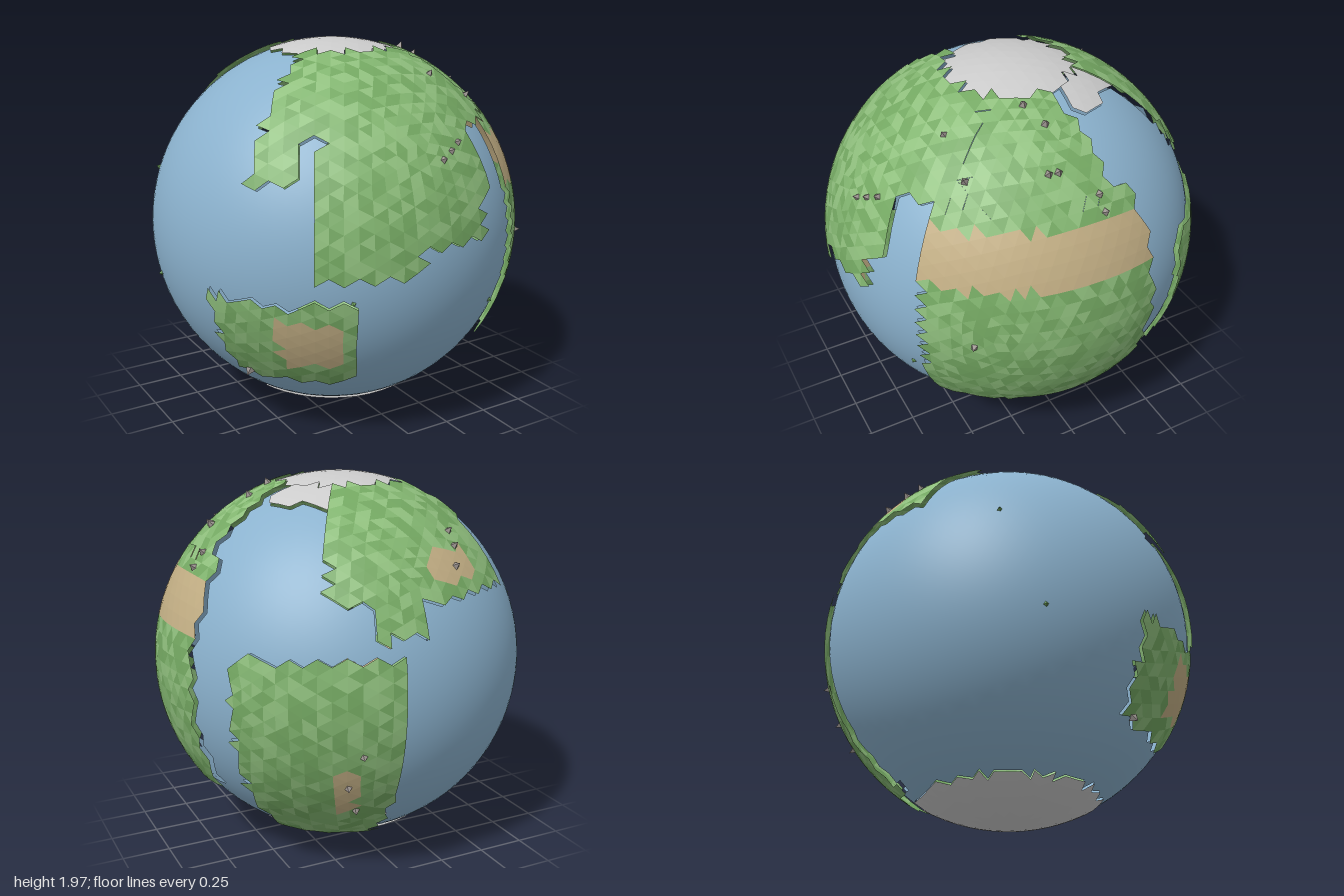
import * as THREE from 'three';

const OCEAN_R = 0.975;
const DEG = Math.PI / 180;

// Land boxes: name, kind, longitude from/to, latitude from/to, radius. First match wins.
// Longitude 0 faces the front (+z) and grows towards +x.
const REGIONS = [
  ['southIceCap', 'ice', 0, 360, -90, -61, 0.985],
  ['northIceCap', 'ice', 0, 360, 71.5, 90, 0.985],
  ['iceIsland', 'ice', 107, 150, 60.5, 71.5, 0.993],
  // right-hand continent with its desert belt
  ['rightContinent', 'sand', 37, 108, 16, 32, 0.998],
  ['rightContinent', 'grass', 37, 108, -34.5, 38, 0.998],
  ['rightContinent', 'grass', 46, 100, 38, 71.5, 0.996],
  // wide front continent
  ['frontContinent', 'grass', -56, 46, 36, 71.5, 1.0],
  ['frontContinent', 'grass', -56, -42, 24, 36, 1.0],
  ['frontContinent', 'grass', -35, 23, 18, 36, 1.0],
  ['frontContinent', 'grass', -35, 18, 5, 18, 1.0],
  ['frontContinent', 'grass', -35, -5, -1.5, 5, 1.0],
  // small lower front continent
  ['lowerContinent', 'sand', -47, -27, -31, -14, 0.992],
  ['lowerContinent', 'grass', -68, -24, -38.5, -9, 0.992],
  // tall back continent
  ['backContinent', 'sand', 153, 160, -37, -20, 1.0],
  ['backContinent', 'grass', 123.5, 172, -56.5, 12.5, 1.0],
  // upper back continent
  ['upperBackContinent', 'sand', 186, 206, 32, 42, 0.998],
  ['upperBackContinent', 'grass', 150, 222, 27, 71.5, 0.998],
  ['upperBackContinent', 'grass', 164, 181, 18, 27, 0.998],
  ['upperBackContinent', 'grass', 222, 232, 50, 71.5, 0.998],
];

// Longitude, latitude of each peak and of each tiny islet
const PEAKS = [
  [6, 29], [10.5, 31], [15, 33], [30, 56], [46, 45], [73, 68], [83, 61],
  [78, 47], [82, 47], [95, 38.5], [95, 33.5], [53, -2], [-62, -37],
  [161, -14], [157, -25], [160, -35.5], [-162, 36], [-157, 42], [-154, 47],
];
const ISLETS = [[-25, -8], [31, -19], [-113, 19], [-100, -12]];

const GRASS = [0x74a862, 0x82b570, 0x90c07e];
const COLORS = { ice: 0xcccccc, sand: 0xc2ae84, ocean: 0x8bb2ce, rock: 0x9c9490 };

function seeded(seed) {
  return () => {
    seed = (seed * 1664525 + 1013904223) % 4294967296;
    return seed / 4294967296;
  };
}

function findRegion(p) {
  const lat = Math.asin(p.y / p.length()) / DEG;
  const lon = Math.atan2(p.x, p.z) / DEG;
  return REGIONS.find(([, , lon0, lon1, lat0, lat1]) =>
    lat >= lat0 && lat < lat1 && ((lon - lon0 + 720) % 360) < lon1 - lon0);
}

function direction(lon, lat) {
  const c = Math.cos(lat * DEG);
  return new THREE.Vector3(c * Math.sin(lon * DEG), Math.sin(lat * DEG), c * Math.cos(lon * DEG));
}

function shellMesh(positions, color, smooth) {
  const geometry = new THREE.BufferGeometry();
  geometry.setAttribute('position', new THREE.Float32BufferAttribute(positions, 3));
  geometry.computeVertexNormals();
  if (smooth) { // radial normals give a smooth sphere
    const n = geometry.attributes.position.clone();
    geometry.setAttribute('normal', n);
    geometry.normalizeNormals();
  }
  return new THREE.Mesh(geometry, new THREE.MeshStandardMaterial({
    color, flatShading: !smooth, side: THREE.DoubleSide,
  }));
}

export function createModel() {
  const globe = new THREE.Group();
  globe.name = 'globe';
  const random = seeded(7);

  // Sort the triangles of one fine sphere into sea and raised land shells
  const source = new THREE.IcosahedronGeometry(1, 15).attributes.position;
  const buckets = new Map();
  const corners = [new THREE.Vector3(), new THREE.Vector3(), new THREE.Vector3()];
  const middle = new THREE.Vector3();
  for (let i = 0; i < source.count; i += 3) {
    corners.forEach((c, k) => c.fromBufferAttribute(source, i + k));
    middle.copy(corners[0]).add(corners[1]).add(corners[2]);
    const region = findRegion(middle);
    const name = region ? region[0] : 'ocean';
    const kind = region ? region[1] : 'ocean';
    const radius = region ? region[6] : OCEAN_R;
    const color = kind === 'grass' ? GRASS[Math.floor(random() * GRASS.length)] : COLORS[kind];
    const key = name + color;
    if (!buckets.has(key)) buckets.set(key, { name, kind, color, positions: [] });
    for (const c of corners) {
      buckets.get(key).positions.push(c.x * radius, c.y * radius, c.z * radius);
    }
  }

  // One group per continent, cap or sea
  const parts = new Map();
  for (const { name, kind, color, positions } of buckets.values()) {
    if (!parts.has(name)) {
      const part = new THREE.Group();
      part.name = name;
      parts.set(name, part);
      globe.add(part);
    }
    const mesh = shellMesh(positions, color, kind === 'ocean');
    mesh.name = kind;
    parts.get(name).add(mesh);
  }

  // Small pyramids standing on the surface
  const up = new THREE.Vector3(0, 1, 0);
  function scatter(name, places, width, height, radius, color) {
    const geometry = new THREE.ConeGeometry(width / 2, height, 4);
    const material = new THREE.MeshStandardMaterial({ color, flatShading: true });
    for (const [lon, lat] of places) {
      const dir = direction(lon, lat);
      const mesh = new THREE.Mesh(geometry, material);
      mesh.name = name;
      mesh.position.copy(dir).multiplyScalar(radius + height / 2);
      mesh.quaternion.setFromUnitVectors(up, dir);
      globe.add(mesh);
    }
  }
  scatter('mountain', PEAKS, 0.05, 0.038, 0.99, COLORS.rock);
  scatter('islet', ISLETS, 0.03, 0.02, 0.972, GRASS[0]);

  // Rest the globe on the ground
  globe.position.set(-0.012, 0.985, 0);
  const model = new THREE.Group();
  model.name = 'lowPolyPlanet';
  model.add(globe);
  return model;
}
